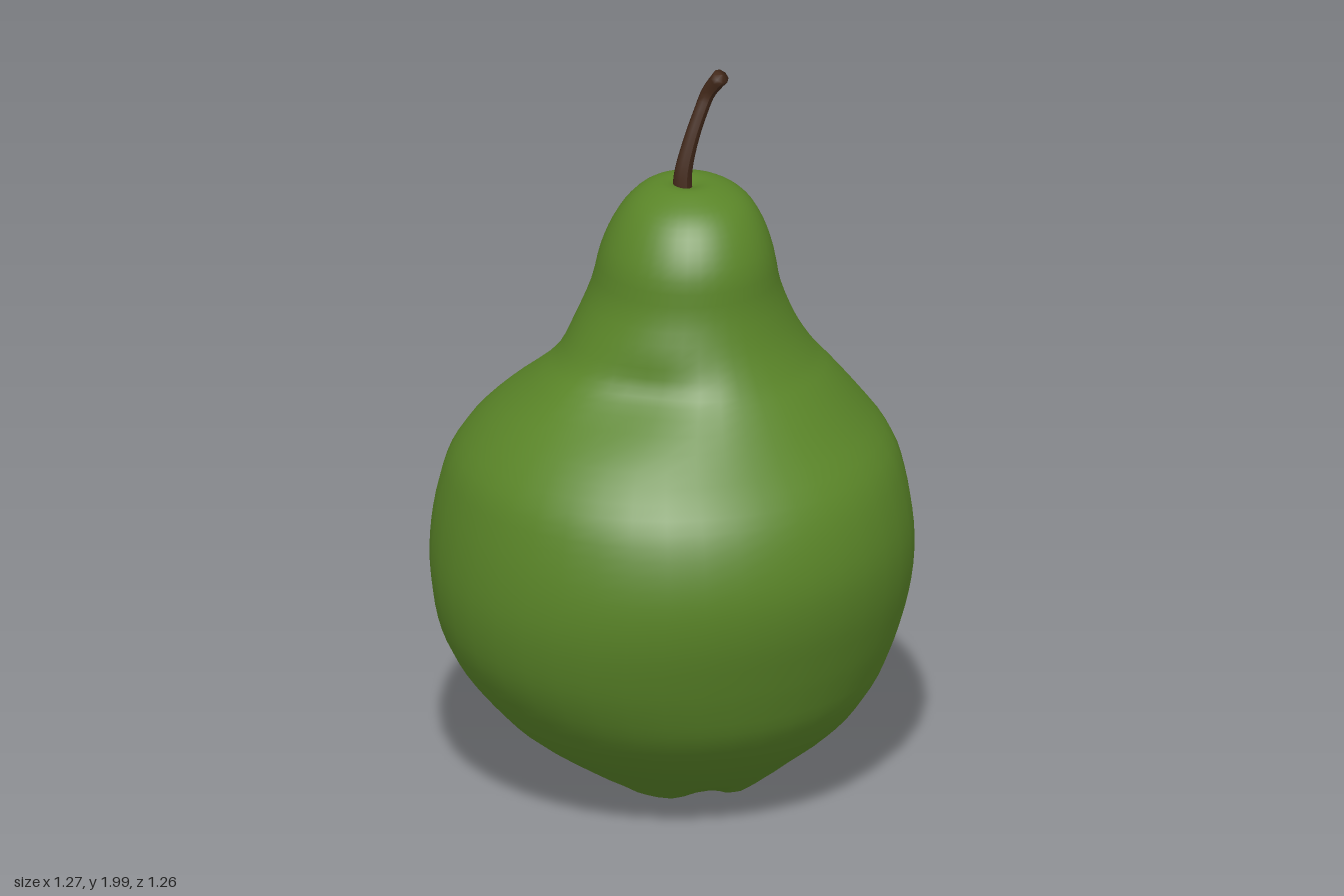
import * as THREE from 'three';

const green = new THREE.MeshStandardMaterial({ color: 0x5a8528, roughness: 0.8 });
const brown = new THREE.MeshStandardMaterial({ color: 0x43291a, roughness: 0.9 });

// Body cross-sections from the base hollow to the crown: y, xMin, xMax, zMin, zMax
const SECTIONS = [
  [0.08, 0.029, 0.031, -0.021, -0.019],
  [0.07, -0.02, 0.08, -0.07, 0.03],
  [0.03, -0.07, 0.15, -0.12, 0.09],
  [0.02, -0.14, 0.24, -0.19, 0.16],
  [0.05, -0.20, 0.295, -0.25, 0.22],
  [0.11, -0.29, 0.35, -0.31, 0.31],
  [0.20, -0.415, 0.46, -0.415, 0.42],
  [0.30, -0.51, 0.535, -0.51, 0.505],
  [0.40, -0.58, 0.585, -0.563, 0.55],
  [0.50, -0.62, 0.617, -0.593, 0.585],
  [0.62, -0.638, 0.633, -0.617, 0.62],
  [0.74, -0.632, 0.631, -0.625, 0.632],
  [0.86, -0.61, 0.612, -0.603, 0.61],
  [0.96, -0.575, 0.58, -0.55, 0.562],
  [1.06, -0.495, 0.508, -0.46, 0.472],
  [1.16, -0.38, 0.424, -0.343, 0.385],
  [1.22, -0.31, 0.372, -0.303, 0.338],
  [1.30, -0.262, 0.325, -0.275, 0.297],
  [1.40, -0.215, 0.283, -0.245, 0.268],
  [1.50, -0.194, 0.26, -0.217, 0.257],
  [1.58, -0.16, 0.235, -0.187, 0.223],
  [1.64, -0.115, 0.2, -0.15, 0.173],
  [1.675, -0.06, 0.15, -0.11, 0.11],
  [1.686, -0.01, 0.09, -0.05, 0.06],
  [1.665, 0.034, 0.036, -0.001, 0.001],
];

function bodyGeometry(rings = 72, sides = 40) {
  const spline = (a, b, c) => new THREE.CatmullRomCurve3(
    SECTIONS.map((s) => new THREE.Vector3(s[a], s[b], s[c])), false, 'catmullrom', 0.5);
  const xCurve = spline(0, 1, 2), zCurve = spline(0, 3, 4);
  const pos = [], index = [];
  for (let i = 0; i <= rings; i++) {
    const t = i / rings, px = xCurve.getPoint(t), pz = zCurve.getPoint(t);
    const y = px.x;
    const cx = (px.y + px.z) / 2, rx = (px.z - px.y) / 2;
    const cz = (pz.y + pz.z) / 2, rz = (pz.z - pz.y) / 2;
    // ribs fade out away from the base, the waist is pinched on one diagonal
    const rib = Math.exp(-(((t - 0.11) / 0.05) ** 2));
    const waist = Math.exp(-(((y - 1.2) / 0.08) ** 2));
    for (let j = 0; j < sides; j++) {
      const a = (j / sides) * Math.PI * 2;
      const wave = Math.cos(5 * a + 0.6) + 0.35 * Math.cos(9 * a);
      const k = 1 - 0.12 * waist * Math.max(0, -Math.sin(2 * a)) ** 2 + 0.02 * rib * wave;
      pos.push(cx + rx * k * Math.cos(a),
        Math.max(0, y - 0.012 * rib * wave),
        cz + rz * k * Math.sin(a));
      if (i < rings) {
        const b = i * sides + j, c = i * sides + (j + 1) % sides;
        index.push(b, b + sides, c, c, b + sides, c + sides);
      }
    }
  }
  const geo = new THREE.BufferGeometry();
  geo.setAttribute('position', new THREE.Float32BufferAttribute(pos, 3));
  geo.setIndex(index);
  geo.computeVertexNormals();
  return geo;
}

// Tube whose radius follows radius(u), with its far end closed
function taperedTube(points, radius, rings, sides) {
  const curve = new THREE.CatmullRomCurve3(points.map((p) => new THREE.Vector3(...p)));
  const geo = new THREE.TubeGeometry(curve, rings, 1, sides);
  const p = geo.attributes.position, v = new THREE.Vector3();
  for (let i = 0; i < p.count; i++) {
    const ring = Math.floor(i / (sides + 1)), u = ring / rings;
    const center = curve.getPointAt(u);
    v.fromBufferAttribute(p, i).sub(center).multiplyScalar(ring === rings ? 0 : radius(u));
    v.add(ring === rings ? curve.getPointAt(1 - 0.7 / rings) : center);
    p.setXYZ(i, v.x, v.y, v.z);
  }
  geo.computeVertexNormals();
  return geo;
}

function add(parent, name, geometry, material) {
  const mesh = new THREE.Mesh(geometry, material);
  mesh.name = name;
  parent.add(mesh);
  return mesh;
}

export function createModel() {
  const pear = new THREE.Group();
  pear.name = 'pear';
  add(pear, 'body', bodyGeometry(), green);

  // Bent stem, thicker at the foot and the cut end
  add(pear, 'stem', taperedTube(
    [[0.03, 1.64, 0], [0.032, 1.71, 0], [0.055, 1.8, 0], [0.085, 1.88, 0],
      [0.104, 1.925, 0.002], [0.13, 1.995, 0.048]],
    (u) => 0.018 + 0.012 * (1 - u) ** 3 + 0.006 * u ** 6, 20, 8), brown);

  // Dried blossom remains in the base hollow
  const calyx = new THREE.Group();
  calyx.name = 'calyx';
  calyx.position.set(0.03, 0.055, -0.02);
  for (let i = 0; i < 5; i++) {
    const a = (i / 5) * Math.PI * 2 + 0.3;
    const sepal = add(calyx, 'sepal', new THREE.SphereGeometry(0.018, 8, 6), brown);
    sepal.position.set(0.03 * Math.cos(a), 0, 0.03 * Math.sin(a));
    sepal.scale.set(1, 1.4, 0.8);
    sepal.rotation.y = -a;
  }
  pear.add(calyx);
  return pear;
}
